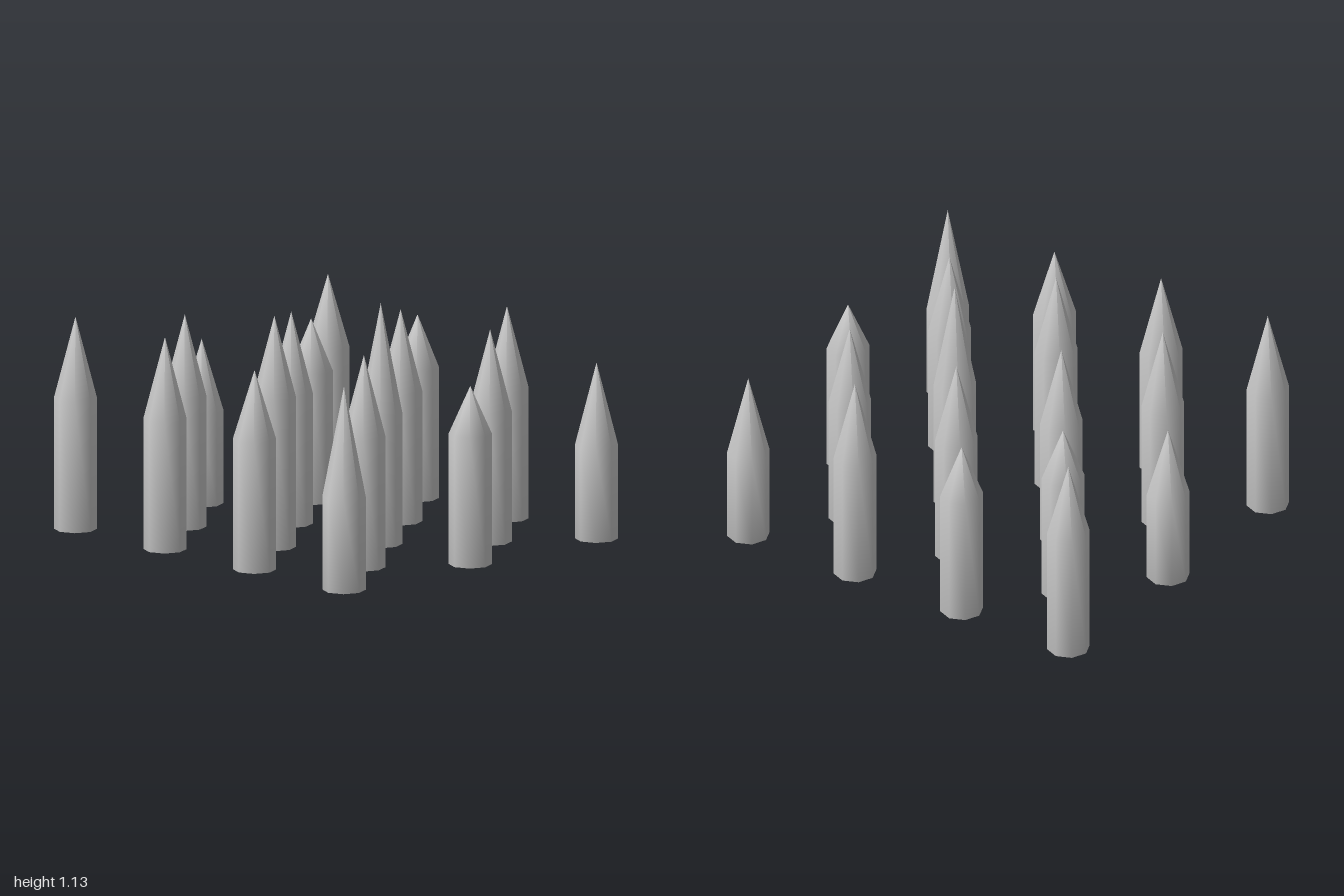
import * as THREE from 'three';

const RADIUS = 0.1, SHOULDER = 0.615, TIP = 1;

// Eight-sided stake: flat base, straight shaft, pointed top
function makeStake(x, z, tip = TIP, shoulder = SHOULDER) {
  const profile = [[0, 0], [RADIUS, 0], [RADIUS, shoulder], [0, tip]]
    .map(([r, y]) => new THREE.Vector2(r, y));
  const stake = new THREE.Mesh(
    new THREE.LatheGeometry(profile, 8),
    new THREE.MeshStandardMaterial({ color: 0xcccccc })
  );
  stake.position.set(x, 0, z);
  return stake;
}

export function createModel() {
  const group = new THREE.Group();
  group.name = 'stakeField';

  const wide = [-0.9, -0.3, 0.3, 0.9];
  const staggered = [-0.59, 0.01, 0.61];

  // Rows from back to front; each entry is [tip height, shoulder height]
  const rows = [
    { z: -0.8, xs: wide, sizes: [[0.96], [0.865], [], [0.83, 0.44]] },
    { z: -0.4, xs: staggered, sizes: [[0.86], [], []] },
    { z: 0, xs: wide, sizes: [[0.775, 0.44], [], [1.135], [0.84]] },
    { z: 0.4, xs: staggered, sizes: [[], [1.09, 0.705], []] },
    { z: 0.8, xs: wide, sizes: [[], [], [0.94], [0.96, 0.44]] },
  ];

  rows.forEach(({ z, xs, sizes }, r) => {
    const row = new THREE.Group();
    row.name = `stakeRow${r + 1}`;
    xs.forEach((x, i) => {
      const stake = makeStake(x, z, ...sizes[i]);
      stake.name = `stake${i + 1}`;
      row.add(stake);
    });
    group.add(row);
  });

  return group;
}
